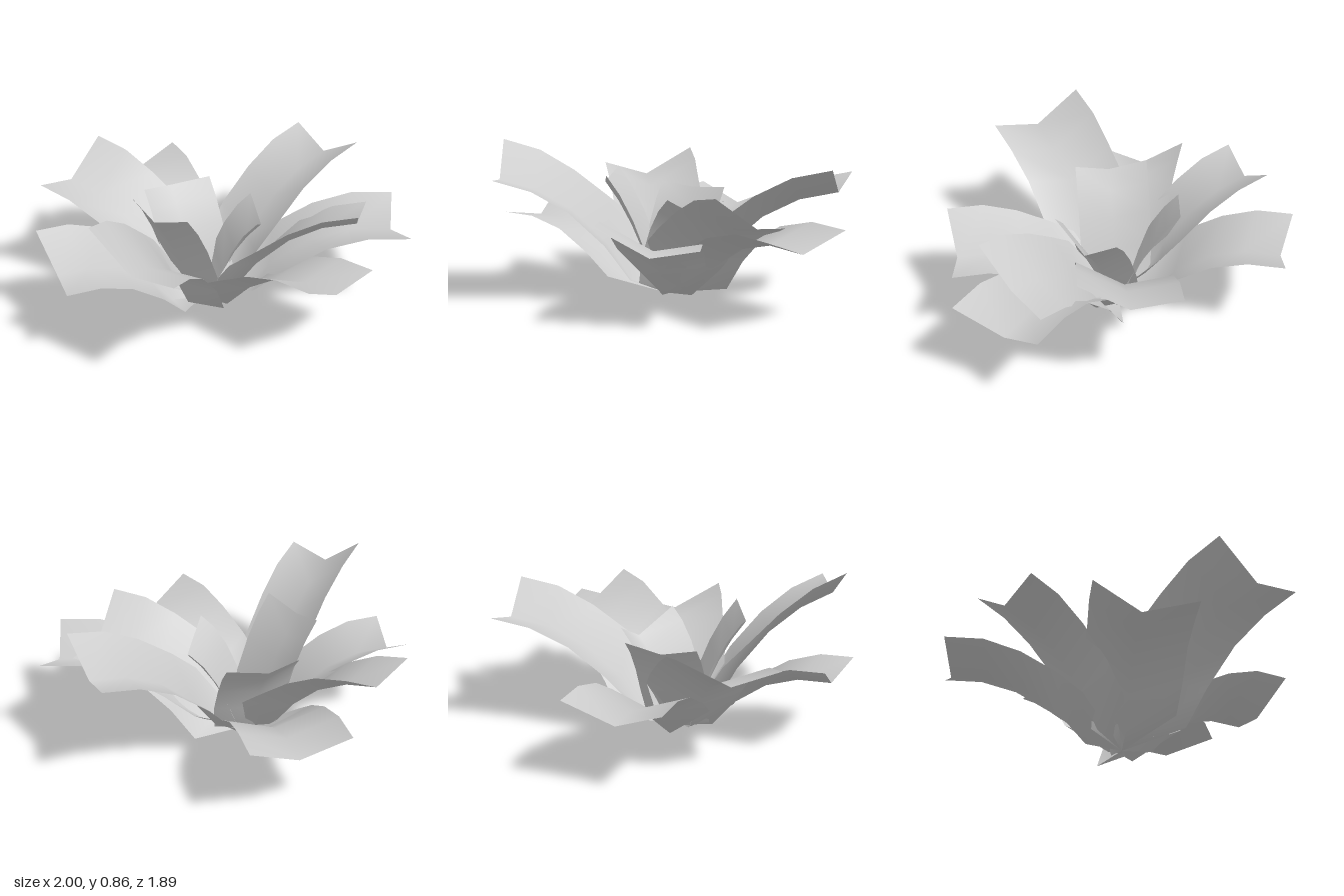
import * as THREE from 'three';

const BASE = new THREE.Vector3(-0.12, 0, 0);

// Petal profile rows from base to tip: reach, curved rise, tilt, width, edge lift
const OUTER_ROWS = [
  [0, 0, 0, 0, 0],
  [0.21, 0.08, 0.18, 0.92, 1.7],
  [0.36, 0.5, 0.36, 0.97, 1.2],
  [0.57, 0.85, 0.57, 0.97, 1],
  [0.78, 1, 0.78, 1, 1],
  [1, 1, 1, 1, 1],
];
const INNER_ROWS = [
  [0, 0, 0, 0, 0],
  [0.2, 0.08, 0.08, 0.92, 0.4],
  [0.36, 0.53, 0.3, 1, 0.6],
  [0.57, 0.85, 0.55, 1, 0.9],
  [0.78, 1, 0.78, 1, 1],
  [1, 1, 1, 1, 1],
];

// Tip of each petal: left corner, middle, right corner
const OUTER = [
  [[-0.37, 0.49, -0.95], [-0.11, 0.38, -0.91], [0.16, 0.49, -0.95]],
  [[-0.83, 0.63, -0.53], [-0.61, 0.56, -0.65], [-0.38, 0.72, -0.79]],
  [[-1.0, 0.43, 0.28], [-0.95, 0.38, 0], [-0.97, 0.53, -0.24]],
  [[-0.67, 0.7, 0.84], [-0.79, 0.67, 0.61], [-0.91, 0.86, 0.4]],
  [[0.49, 0.43, 0.77], [0.24, 0.38, 0.82], [0, 0.53, 0.94]],
  [[1.0, 0.48, 0.18], [0.86, 0.38, 0.39], [0.8, 0.48, 0.67]],
  [[0.81, 0.48, 0.21], [0.62, 0.49, 0.41], [0.49, 0.66, 0.61]],
  [[0.78, 0.68, -0.5], [0.8, 0.6, -0.24], [0.86, 0.75, 0.01]],
];
const INNER = [
  [[-0.31, 0.58, -0.31], [-0.13, 0.55, -0.35], [0.09, 0.57, -0.31]],
  [[-0.33, 0.68, 0.28], [-0.44, 0.62, 0.11], [-0.48, 0.68, -0.1]],
  [[0.22, 0.55, -0.06], [0.19, 0.45, 0.12], [0.06, 0.58, 0.31]],
];

const material = new THREE.MeshStandardMaterial({ color: 0xcccccc, side: THREE.DoubleSide });

function makePetal(tip, rows, name) {
  const [left, mid, right] = tip.map((p) => new THREE.Vector3(...p));
  const reach = mid.clone().sub(BASE).setY(0);
  const curl = 0.41 * reach.length(); // rise from the curved profile
  const slope = mid.y - curl; // rest of the rise is a tilt
  const positions = [];
  const index = [];
  rows.forEach(([u, rise, tilt, width, lift], i) => {
    for (const corner of [left, mid, right]) {
      const side = corner.clone().sub(mid);
      positions.push(
        BASE.x + reach.x * u + side.x * width,
        Math.max(0, curl * rise + slope * tilt + side.y * lift),
        BASE.z + reach.z * u + side.z * width
      );
    }
    if (i === 0) return;
    for (let j = 0; j < 2; j++) {
      const a = (i - 1) * 3 + j;
      const c = i * 3 + j;
      if (i > 1) index.push(a, a + 1, c);
      index.push(a + 1, c + 1, c);
    }
  });
  const geometry = new THREE.BufferGeometry();
  geometry.setAttribute('position', new THREE.Float32BufferAttribute(positions, 3));
  geometry.setIndex(index);
  geometry.computeVertexNormals();
  const mesh = new THREE.Mesh(geometry, material);
  mesh.name = name;
  return mesh;
}

export function createModel() {
  const flower = new THREE.Group();
  flower.name = 'flower';
  OUTER.forEach((tip, i) => flower.add(makePetal(tip, OUTER_ROWS, `outerPetal${i + 1}`)));
  INNER.forEach((tip, i) => flower.add(makePetal(tip, INNER_ROWS, `innerPetal${i + 1}`)));
  return flower;
}
